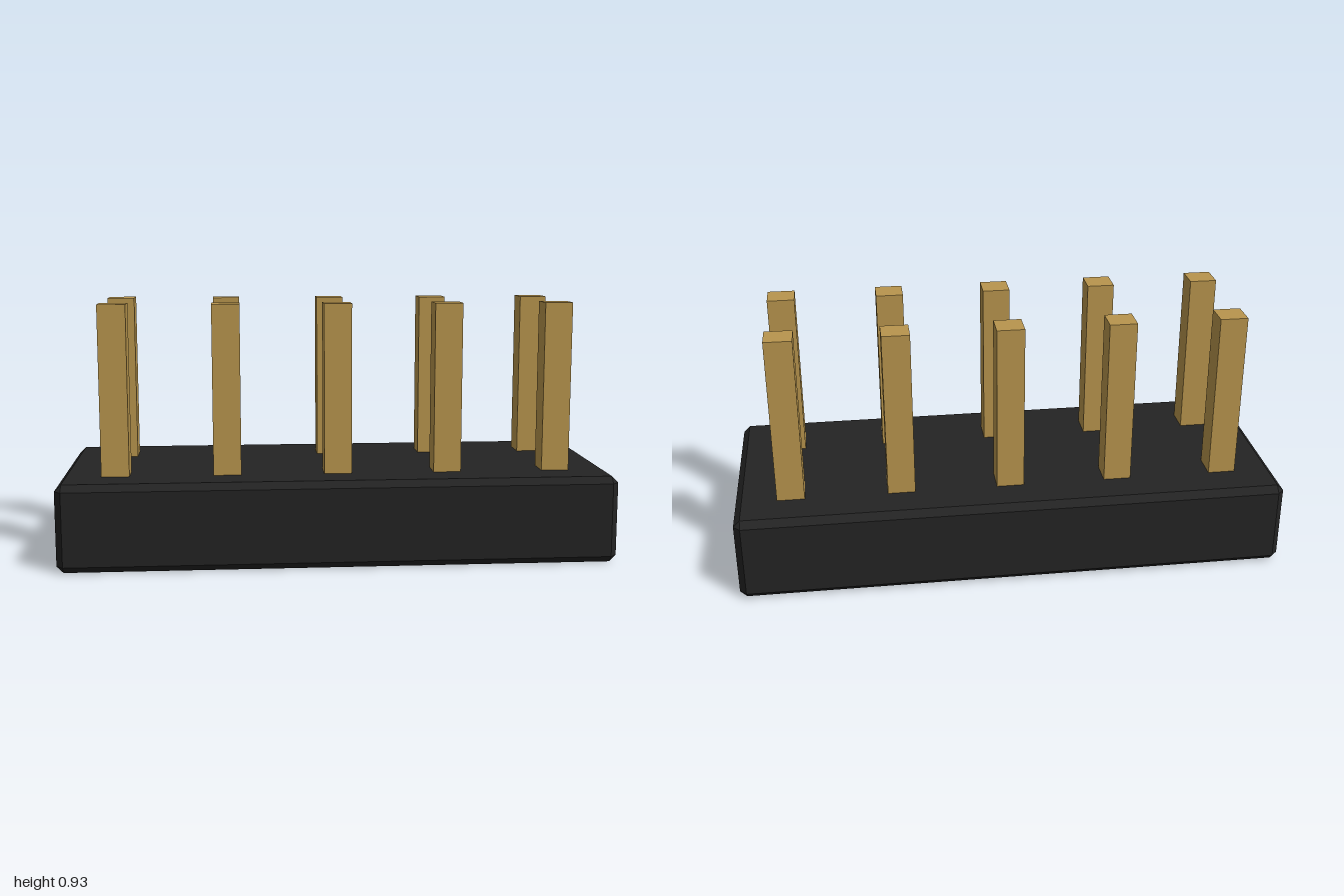
import * as THREE from 'three';
import { ConvexGeometry } from 'three/addons/geometries/ConvexGeometry.js';

// Box with flat chamfers on every edge, as the hull of its inset face corners
function chamferedBox(w, h, d, c) {
  const points = [];
  for (const sx of [-1, 1]) for (const sy of [-1, 1]) for (const sz of [-1, 1]) {
    const x = w / 2, y = h / 2, z = d / 2;
    points.push(
      new THREE.Vector3(sx * x, sy * (y - c), sz * (z - c)),
      new THREE.Vector3(sx * (x - c), sy * y, sz * (z - c)),
      new THREE.Vector3(sx * (x - c), sy * (y - c), sz * z),
    );
  }
  return new ConvexGeometry(points);
}

export function createModel() {
  const model = new THREE.Group();
  model.name = 'pinHeader';

  const blackPlastic = new THREE.MeshStandardMaterial({ color: 0x232323 });
  blackPlastic.name = 'blackPlastic';
  const goldMetal = new THREE.MeshStandardMaterial({ color: 0xb8954d });
  goldMetal.name = 'goldMetal';

  // Housing block
  const bodyHeight = 0.315;
  const housing = new THREE.Mesh(chamferedBox(2, bodyHeight, 0.8, 0.024), blackPlastic);
  housing.name = 'housing';
  housing.position.y = bodyHeight / 2;
  model.add(housing);

  // Two rows of five square pins, seated slightly into the housing
  const pinTop = 0.93, pinBottom = 0.29;
  const pinGeometry = new THREE.BoxGeometry(0.1, pinTop - pinBottom, 0.1);
  const pins = new THREE.Group();
  pins.name = 'pins';
  for (const z of [0.2, -0.2]) {
    for (let i = 0; i < 5; i++) {
      const pin = new THREE.Mesh(pinGeometry, goldMetal);
      pin.name = `${z > 0 ? 'front' : 'back'}Pin${i + 1}`;
      pin.position.set((i - 2) * 0.4, (pinTop + pinBottom) / 2, z);
      pins.add(pin);
    }
  }
  model.add(pins);

  return model;
}
